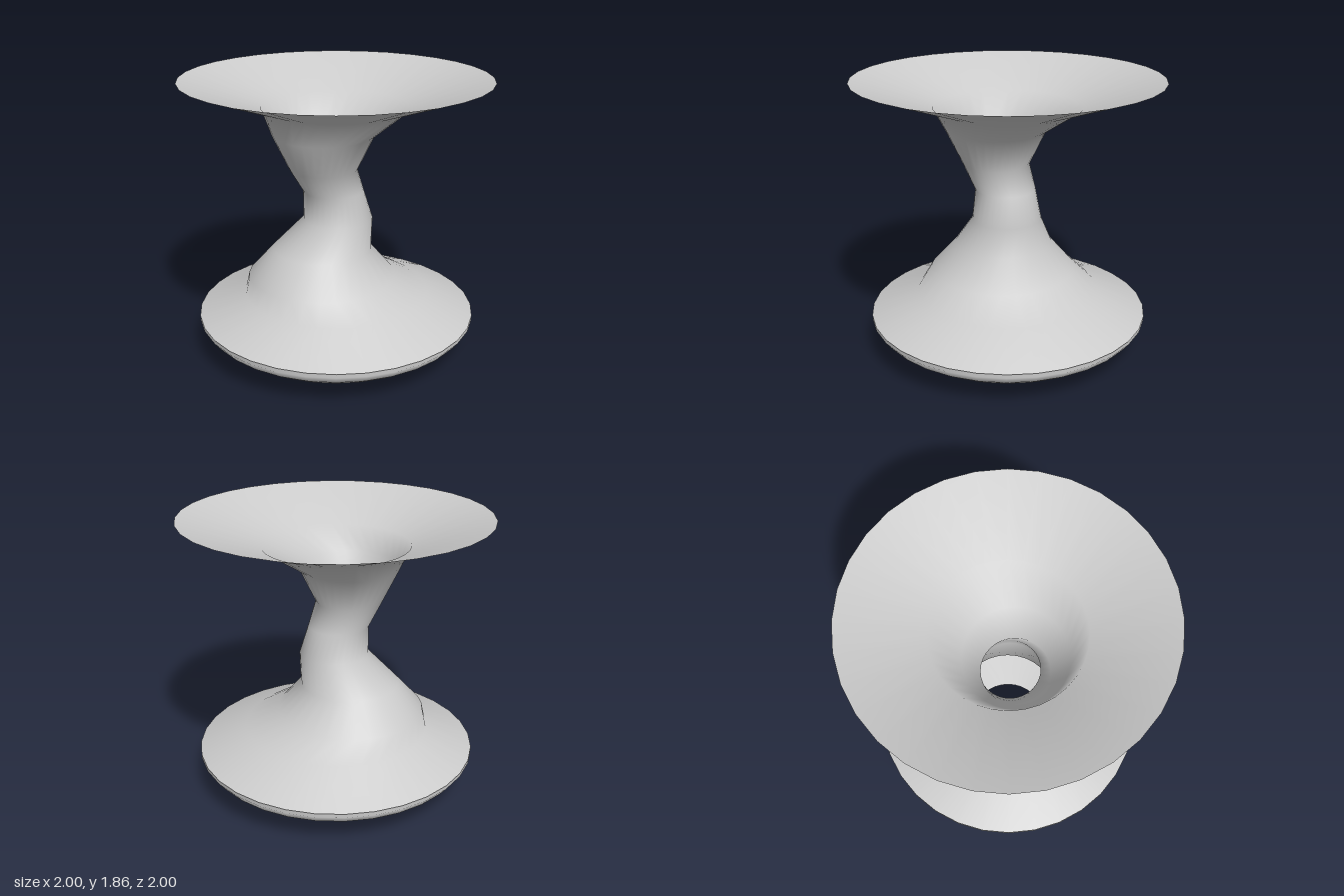
import * as THREE from 'three';

const SIDES = 32;

// Horizontal rings from the bottom opening to the top rim: [y, radius, centre x, centre z]
const RINGS = [
  // shallow bowl underneath
  [0, 0.27, 0, 0],
  [0.065, 0.55, 0, 0],
  [0.125, 0.795, 0, 0],
  [0.19, 0.89, 0, 0],
  [0.247, 0.935, 0, 0],
  // small groove below the foot edge
  [0.26, 0.895, 0, 0],
  [0.272, 0.935, 0, 0],
  // foot, wandering neck and funnel
  [0.405, 0.62, 0, 0],
  [0.53, 0.493, -0.083, 0.055],
  [0.715, 0.33, -0.08, 0.05],
  [0.925, 0.23, 0.017, 0.005],
  [1.12, 0.2, -0.01, 0.02],
  [1.28, 0.22, -0.05, 0.09],
  [1.51, 0.33, -0.05, 0.09],
  [1.675, 0.48, 0, 0],
  [1.86, 1, 0, 0],
];

// Skin of smooth-shaded quads joining consecutive rings, open at both ends
function ringSkin(rings) {
  const positions = [];
  const indices = [];
  rings.forEach(([y, r, cx, cz], j) => {
    for (let i = 0; i < SIDES; i++) {
      const a = (i / SIDES) * Math.PI * 2;
      positions.push(cx + r * Math.sin(a), y, cz + r * Math.cos(a));
      if (j === 0) continue;
      const next = (i + 1) % SIDES;
      const low = (j - 1) * SIDES;
      const high = j * SIDES;
      indices.push(low + i, low + next, high + next, low + i, high + next, high + i);
    }
  });
  const geometry = new THREE.BufferGeometry();
  geometry.setAttribute('position', new THREE.Float32BufferAttribute(positions, 3));
  geometry.setIndex(indices);
  geometry.computeVertexNormals();
  return geometry;
}

export function createModel() {
  const group = new THREE.Group();
  group.name = 'flaredVase';
  const material = new THREE.MeshStandardMaterial({ color: 0xcccccc, side: THREE.DoubleSide });
  const body = new THREE.Mesh(ringSkin(RINGS), material);
  body.name = 'vaseBody';
  group.add(body);
  return group;
}
